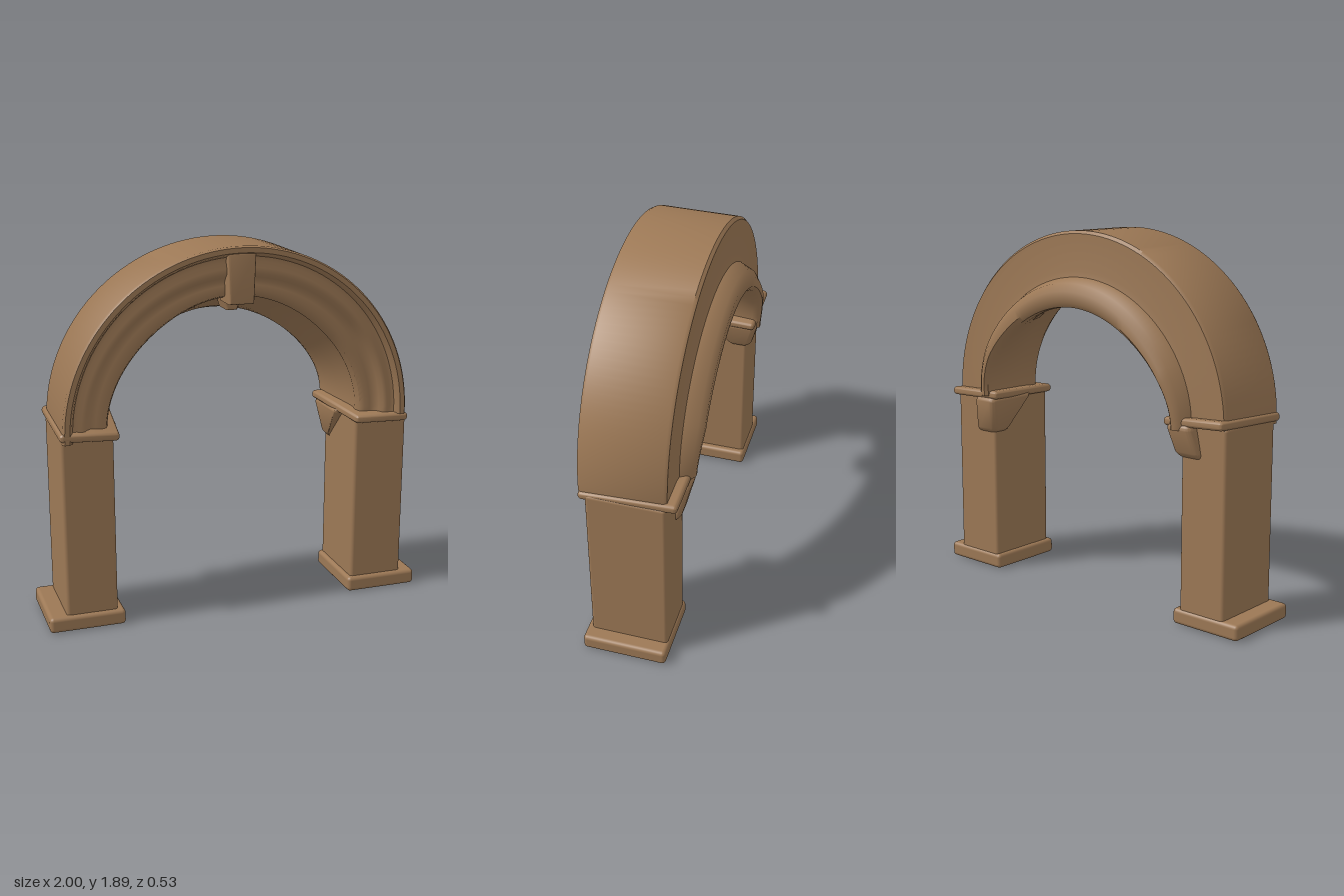
import * as THREE from 'three';
import { toCreasedNormals } from 'three/addons/utils/BufferGeometryUtils.js';
import { RoundedBoxGeometry } from 'three/addons/geometries/RoundedBoxGeometry.js';

const stone = new THREE.MeshStandardMaterial({ color: 0x9c7855 });
stone.name = 'warm stone';

function add(parent, name, geometry, x = 0, y = 0, z = 0) {
  const mesh = new THREE.Mesh(geometry, stone);
  mesh.name = name;
  mesh.position.set(x, y, z);
  parent.add(mesh);
  return mesh;
}

// Rounded block given by its extents
function block(parent, name, [x0, x1], [y0, y1], [z0, z1], radius) {
  const g = new RoundedBoxGeometry(x1 - x0, y1 - y0, z1 - z0, 3, radius);
  return add(parent, name, g, (x0 + x1) / 2, (y0 + y1) / 2, (z0 + z1) / 2);
}

// Moulded arch: each profile point is [half width, rise, z], swept over a half ellipse
function archGeometry() {
  const profile = [
    [0.895, 0.875, -0.17], [0.905, 0.89, -0.155], [0.905, 0.892, 0.25], [0.895, 0.885, 0.265],
    [0.87, 0.86, 0.265], [0.86, 0.85, 0.255], [0.85, 0.84, 0.232], [0.83, 0.815, 0.226],
    [0.81, 0.785, 0.235], [0.79, 0.755, 0.23], [0.775, 0.735, 0.208], [0.755, 0.715, 0.192],
    [0.73, 0.695, 0.192], [0.70, 0.67, 0.196], [0.675, 0.645, 0.185], [0.662, 0.632, 0.155],
    [0.672, 0.632, 0.11], [0.667, 0.612, 0.05], [0.65, 0.57, -0.04], [0.635, 0.53, -0.14],
    [0.625, 0.512, -0.21], [0.625, 0.515, -0.245], [0.64, 0.54, -0.265], [0.66, 0.595, -0.265],
    [0.685, 0.635, -0.24], [0.71, 0.66, -0.175], [0.74, 0.69, -0.17],
  ];
  const steps = 72, n = profile.length, pos = [], index = [];
  const from = -0.025;
  for (let i = 0; i <= steps; i++) {
    const t = from + (Math.PI - 2 * from) * i / steps;
    // the rear band becomes shallower towards the springing
    const fade = 0.75 + 0.25 * Math.min(1, Math.max(0, Math.sin(t) * 2.5));
    for (const [w, h, z] of profile) {
      const depth = z < -0.17 ? -0.17 + (z + 0.17) * fade : z;
      // the inner curve is slightly flattened at the haunches
      const inner = Math.min(1, Math.max(0, (0.74 - w) / 0.1));
      const k = 1 - 0.035 * inner * Math.sin(2 * t) ** 2;
      pos.push(k * w * Math.cos(t), 1 + k * h * Math.sin(t), depth);
    }
  }
  for (let i = 0; i < steps; i++) {
    for (let j = 0; j < n; j++) {
      const a = i * n + j, b = i * n + (j + 1) % n, c = a + n, d = b + n;
      index.push(a, c, b, b, c, d);
    }
  }
  const g = new THREE.BufferGeometry();
  g.setAttribute('position', new THREE.Float32BufferAttribute(pos, 3));
  g.setIndex(index);
  return toCreasedNormals(g, 0.75);
}

// Corbel: a block whose inner, rear and front faces draw in towards its foot
function corbelGeometry(height, side) {
  const g = new RoundedBoxGeometry(0.15, height, 0.32, 5, 0.035);
  const p = g.attributes.position;
  for (let i = 0; i < p.count; i++) {
    const down = 0.5 - p.getY(i) / height;
    const z = p.getZ(i);
    p.setX(i, p.getX(i) + side * 0.04 * down * down);
    p.setZ(i, z < 0 ? z + 0.05 * down * down : z * (1 - 1.3 * down));
  }
  g.computeVertexNormals();
  return toCreasedNormals(g, 0.9);
}

// Cap slab that widens inwards from the front to the rear
function capGeometry(side) {
  const g = new RoundedBoxGeometry(0.35, 0.044, 0.488, 3, 0.02);
  const p = g.attributes.position;
  for (let i = 0; i < p.count; i++) {
    if (p.getX(i) * side < 0) {
      const forward = p.getZ(i) / 0.488 + 0.5;
      p.setX(i, p.getX(i) + side * 0.055 * forward);
    }
  }
  return toCreasedNormals(g, 0.6);
}

// Tapered wedge block with softened edges
function wedgeGeometry(topHalf, bottomHalf, y0, y1, depth) {
  const b = 0.012;
  const s = new THREE.Shape();
  s.moveTo(-bottomHalf + b, y0 + b);
  s.lineTo(bottomHalf - b, y0 + b);
  s.lineTo(topHalf - b, y1 - b);
  s.lineTo(-topHalf + b, y1 - b);
  s.closePath();
  const g = new THREE.ExtrudeGeometry(s, {
    depth: depth - 2 * b, bevelEnabled: true, bevelSize: b, bevelThickness: b, bevelSegments: 3,
  });
  return toCreasedNormals(g, 0.6);
}

export function createModel() {
  const model = new THREE.Group();
  model.name = 'stoneArch';

  add(model, 'archRing', archGeometry());

  // Keystone and the small drop beneath it
  add(model, 'keystone', wedgeGeometry(0.073, 0.064, 1.607, 1.862, 0.16), 0, 0, 0.115);
  add(model, 'keystoneDrop', wedgeGeometry(0.06, 0.03, 1.555, 1.66, 0.14), -0.005, 0, 0);

  // Piers; the two sides stand at slightly different heights and widths
  const sides = [
    { name: 'right', s: -1, inner: 0.647, outer: 0.91, capY: 1.015, drop: 0.18, tilt: -0.05 },
    { name: 'left', s: 1, inner: 0.634, outer: 0.924, capY: 0.975, drop: 0.215, tilt: -0.03 },
  ];
  for (const { name, s, inner, outer, capY, drop, tilt } of sides) {
    const pier = new THREE.Group();
    pier.name = name + 'Pier';
    model.add(pier);
    const span = (a, b) => (s > 0 ? [a, b] : [-b, -a]);

    block(pier, 'base', span(0.612, 1), [0, 0.08], [-0.18, 0.252], 0.02);
    block(pier, 'shaft', span(inner, outer), [0.05, capY], [-0.17, 0.228], 0.018);

    const cap = add(pier, 'cap', capGeometry(s), s * 0.745, capY, 0.022);
    cap.rotation.set(0.05, 0, tilt);

    // Corbel wrapping the rear inner corner
    add(pier, 'corbel', corbelGeometry(drop, s), s * 0.664, capY + 0.005 - drop / 2, -0.07);
  }
  return model;
}
